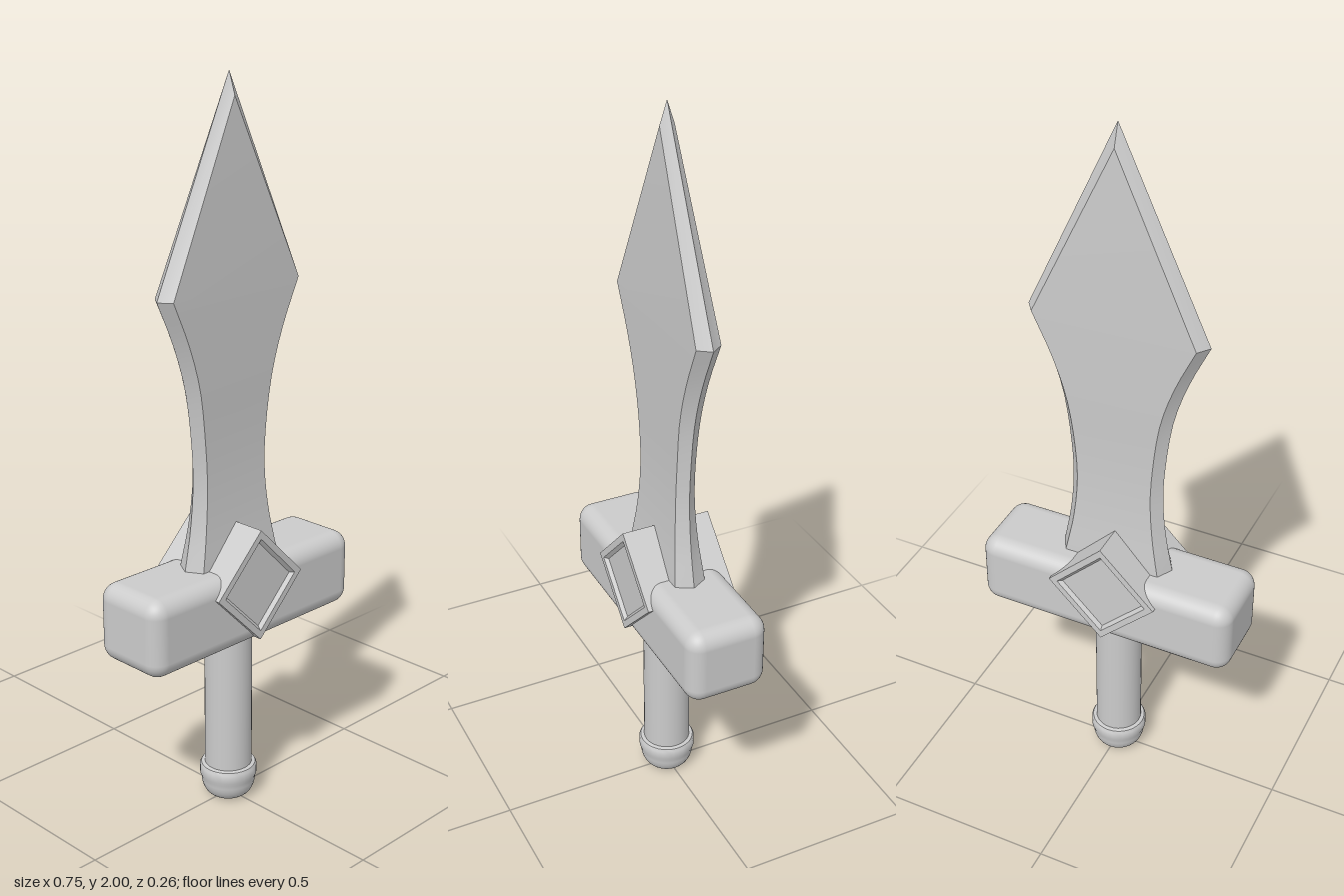
import * as THREE from 'three';
import { toCreasedNormals } from 'three/addons/utils/BufferGeometryUtils.js';
import { RoundedBoxGeometry } from 'three/addons/geometries/RoundedBoxGeometry.js';

const grey = new THREE.MeshStandardMaterial({ color: 0xcccccc });
const v2 = ([x, y]) => new THREE.Vector2(x, y);

// Six-sided sections: sharp edges at z = 0, flat faces at +-thickness.
function bladeGeometry() {
  // half width, height, half thickness
  const outline = new THREE.CatmullRomCurve3([
    [0.168, 0.7, 0.046], [0.158, 0.75, 0.042], [0.142, 0.84, 0.034], [0.132, 0.96, 0.028],
    [0.138, 1.08, 0.027], [0.158, 1.22, 0.03], [0.196, 1.34, 0.032], [0.25, 1.46, 0.034],
  ].map((p) => new THREE.Vector3(...p)));
  const ring = (wo, yo, wi, yi, t) => [
    [wo, yo, 0], [wi, yi, t], [-wi, yi, t], [-wo, yo, 0], [-wi, yi, -t], [wi, yi, -t],
  ];
  const rings = outline.getPoints(20).map((p) => ring(p.x, p.y, p.x - 0.025, p.y, p.z));
  rings.push(ring(0, 2, 0, 1.94, 0.02)); // the point

  const index = [];
  for (let j = 0; j < rings.length - 1; j++) {
    for (let k = 0; k < 6; k++) {
      const a = j * 6 + k, b = j * 6 + ((k + 1) % 6);
      index.push(a, a + 6, b, b, a + 6, b + 6);
    }
  }
  const geometry = new THREE.BufferGeometry();
  geometry.setAttribute('position', new THREE.Float32BufferAttribute(rings.flat(2), 3));
  geometry.setIndex(index);
  return toCreasedNormals(geometry, 0.5);
}

// Four-sided block through the guard, with a sunken panel at both ends.
function emblemGeometry() {
  const half = [[0.157, 0.128], [0.132, 0.128], [0.12, 0.118], [0, 0.118]];
  const profile = [...half.map(([r, z]) => [r, -z]).reverse(), ...half];
  return new THREE.LatheGeometry(profile.map(v2), 4).rotateX(Math.PI / 2);
}

// Cap with a rounded bottom and a slightly softened upper rim.
function pommelGeometry() {
  const profile = [[0, 0], [0.04, 0]];
  for (let i = 1; i <= 8; i++) {
    const a = (i / 8) * Math.PI / 2;
    profile.push([0.04 + 0.036 * Math.sin(a), 0.055 - 0.055 * Math.cos(a)]);
  }
  profile.push([0.08, 0.065], [0.08, 0.09], [0.076, 0.097], [0.064, 0.1], [0, 0.1]);
  return toCreasedNormals(new THREE.LatheGeometry(profile.map(v2), 32), 0.6);
}

export function createModel() {
  const model = new THREE.Group();
  const add = (name, geometry, x = 0, y = 0, material = grey) => {
    const mesh = new THREE.Mesh(geometry, material);
    mesh.name = name;
    mesh.position.set(x, y, 0);
    model.add(mesh);
  };
  const faceted = grey.clone();
  faceted.flatShading = true;

  add('blade', bladeGeometry());
  add('guard', new RoundedBoxGeometry(0.75, 0.217, 0.23, 5, 0.045), 0, 0.614);
  add('emblem', emblemGeometry(), -0.008, 0.675, faceted);
  add('grip', new THREE.CylinderGeometry(0.066, 0.066, 0.44, 32), -0.003, 0.3);
  add('pommel', pommelGeometry(), -0.003, 0);
  return model;
}
